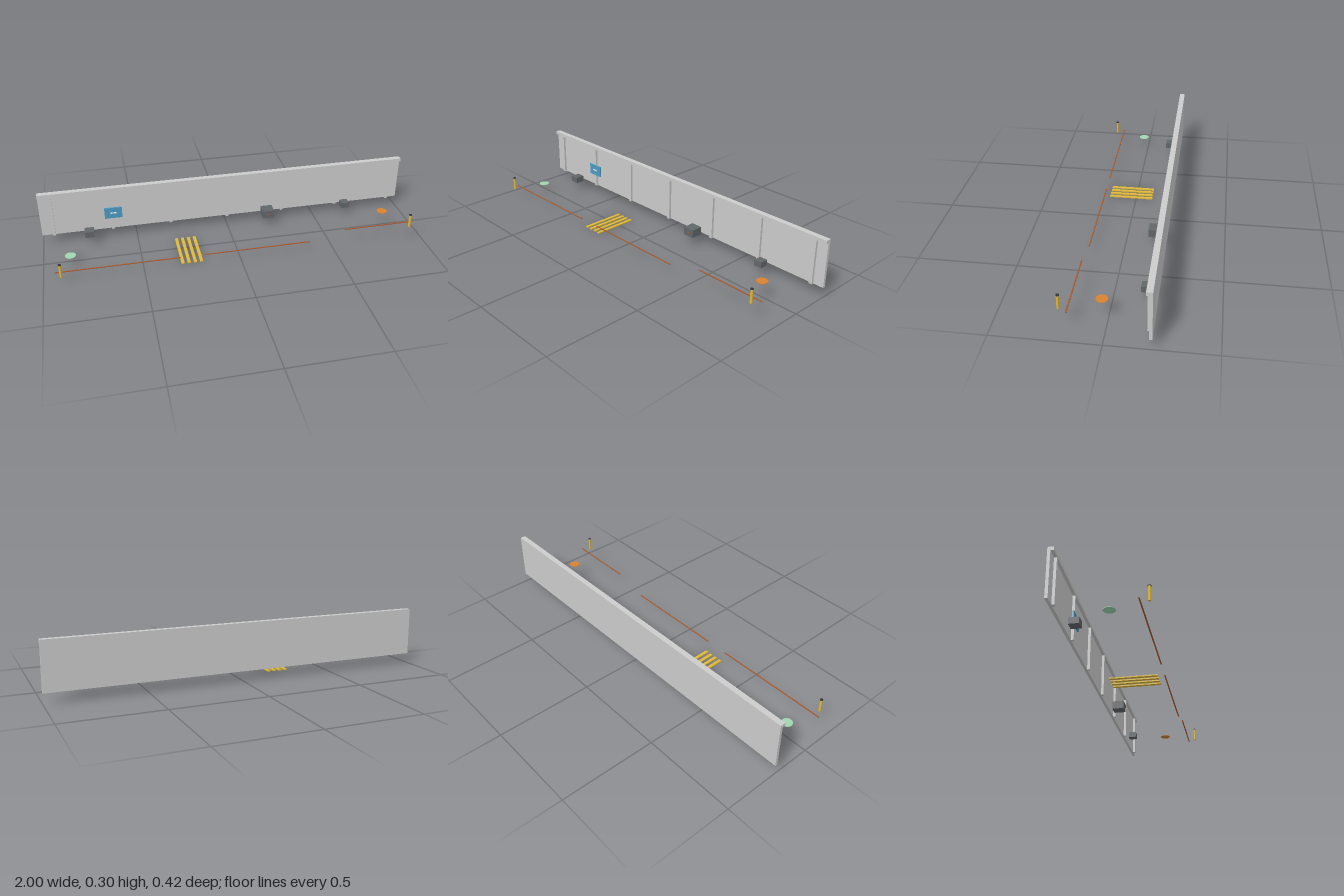
import * as THREE from 'three';

const mat = (color) => new THREE.MeshStandardMaterial({ color });
const GREY = mat(0xcccccc);
const DARK = mat(0x62676a);
const BLACK = mat(0x33363a);
const YELLOW = mat(0xe0b93a);
const BLUE = mat(0x4a9cc4);
const WHITE = mat(0xe4eef2);
const RUST = mat(0xa8592c);
const GREEN = mat(0x9fd6b0);
const ORANGE = mat(0xd9822f);

const GROUND = 0.053; // street level
const RAISED = 0.104; // raised right-hand section

export function createModel() {
  const model = new THREE.Group();

  const add = (parent, name, geometry, material, x, y, z) => {
    const mesh = new THREE.Mesh(geometry, material);
    mesh.name = name;
    mesh.position.set(x, y, z);
    parent.add(mesh);
    return mesh;
  };
  // Box given by its lower and upper limits on each axis
  const box = (parent, name, material, [x0, x1], [y0, y1], [z0, z1]) =>
    add(parent, name, new THREE.BoxGeometry(x1 - x0, y1 - y0, z1 - z0), material,
      (x0 + x1) / 2, (y0 + y1) / 2, (z0 + z1) / 2);

  // Long wall with coping and evenly spaced ribs
  const wall = new THREE.Group();
  wall.name = 'wall';
  box(wall, 'wallPanel', GREY, [-1, 1], [GROUND, 0.284], [-0.211, -0.197]);
  box(wall, 'coping', GREY, [-1, 1], [0.284, 0.302], [-0.211, -0.182]);
  for (let i = -3; i <= 3; i++) {
    const x = i * 0.3125;
    box(wall, 'rib', GREY, [x - 0.008, x + 0.008], [GROUND, 0.284], [-0.197, -0.184]);
  }
  model.add(wall);

  // Sign plate standing off the wall, with a small bar on it
  const sign = new THREE.Group();
  sign.name = 'sign';
  box(sign, 'signPlate', BLUE, [-0.665, -0.572], [0.124, 0.186], [-0.185, -0.178]);
  box(sign, 'signBar', WHITE, [-0.634, -0.603], [0.153, 0.159], [-0.178, -0.175]);
  model.add(sign);

  // Crates along the foot of the wall
  box(model, 'smallCrate', DARK, [-0.778, -0.729], [GROUND, 0.086], [-0.172, -0.122]);
  box(model, 'largeCrate', DARK, [0.19, 0.252], [GROUND, 0.096], [-0.178, -0.115]);
  box(model, 'crateLatch', RUST, [0.211, 0.231], [0.072, 0.077], [-0.115, -0.113]);
  box(model, 'smallCrate', DARK, [0.65, 0.693], [GROUND, 0.084], [-0.172, -0.129]);

  // Flat round pads
  const pad = new THREE.CylinderGeometry(0.028, 0.028, 0.002, 24);
  add(model, 'greenPad', pad, GREEN, -0.86, GROUND + 0.001, 0.028);
  add(model, 'orangePad', pad, ORANGE, 0.822, RAISED, 0.028);

  // Thin edge lines, the last one on the raised section
  for (const [x0, x1, y] of [[-0.939, -0.313, GROUND], [-0.19, 0.371, GROUND], [0.559, 0.934, RAISED - 0.001]]) {
    box(model, 'edgeLine', RUST, [x0, x1], [y, y + 0.003], [0.163, 0.169]);
  }

  // Lower crossing made of four planks
  for (let i = 0; i < 4; i++) {
    const x = -0.3 + i * 0.0323;
    box(model, 'crossingPlank', YELLOW, [x - 0.008, x + 0.008], [0, 0.006], [-0.09, 0.148]);
  }

  // Bollards with dark caps
  for (const [x, y] of [[-0.909, GROUND], [0.904, RAISED - 0.002]]) {
    const bollard = new THREE.Group();
    bollard.name = 'bollard';
    add(bollard, 'bollardPost', new THREE.CylinderGeometry(0.0065, 0.0065, 0.069, 12), YELLOW, 0, 0.0345, 0);
    add(bollard, 'bollardCap', new THREE.CylinderGeometry(0.0078, 0.0078, 0.004, 12), BLACK, 0, 0.071, 0);
    bollard.position.set(x, y, 0.205);
    model.add(bollard);
  }

  return model;
}
